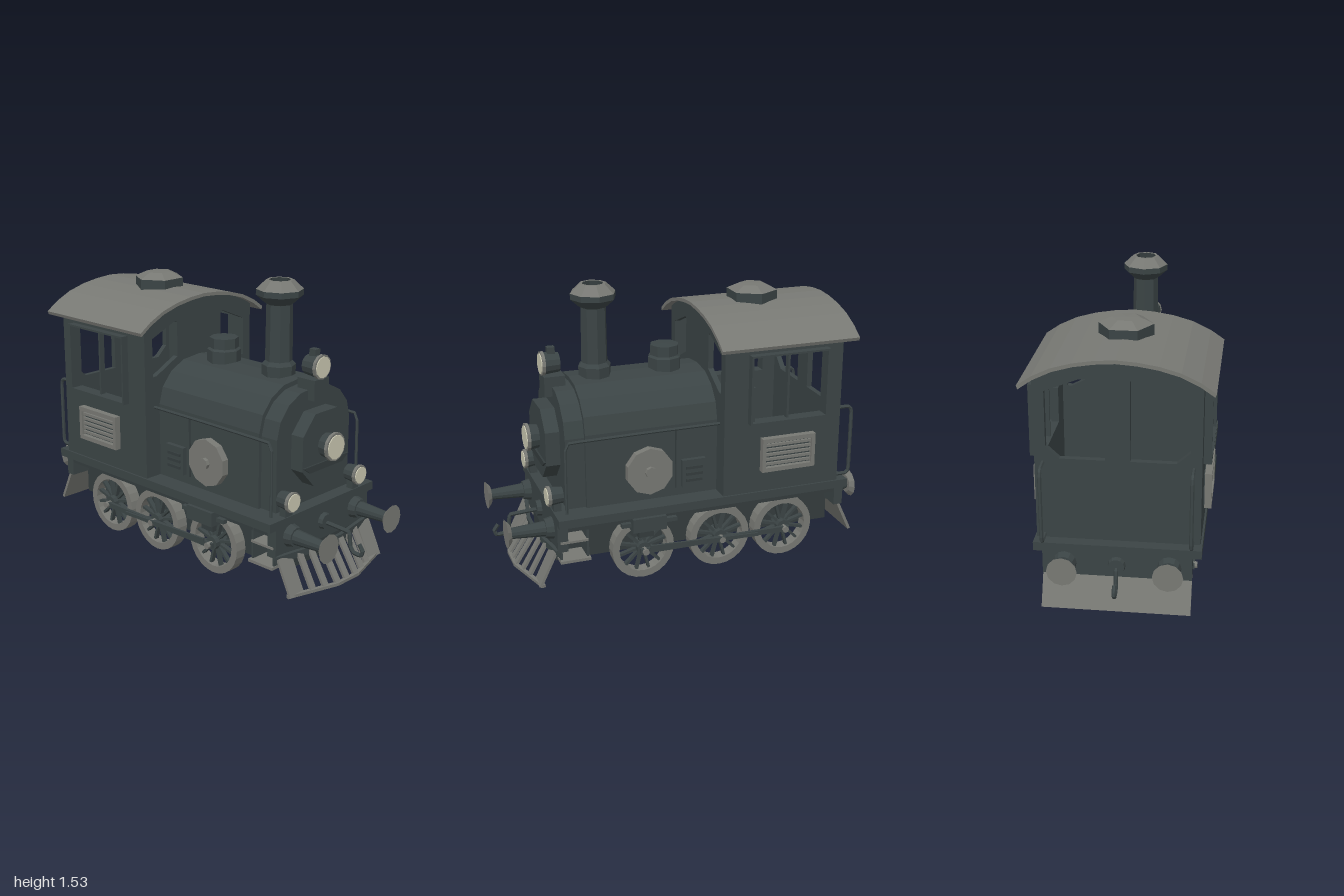
import * as THREE from 'three';

const material = (name, color) => Object.assign(new THREE.MeshStandardMaterial({ color }), { name });

export function createModel() {
  const model = new THREE.Group();
  model.name = 'steamLocomotive';
  const dark = material('charcoal', 0x3b4445);
  const frameMat = material('darkFrame', 0x343c3d);
  const grey = material('steelGrey', 0x777873);
  const cream = material('lampCream', 0xcac8b2);
  const sides = [1, -1];
  const v = (x, y, z) => new THREE.Vector3(x, y, z);

  // Adds a faceted mesh
  function add(name, geo, mat, x = 0, y = 0, z = 0) {
    const g = geo.index ? geo.toNonIndexed() : geo;
    g.computeVertexNormals();
    const m = new THREE.Mesh(g, mat);
    m.name = name;
    m.position.set(x, y, z);
    model.add(m);
    return m;
  }
  // Box from its limits
  const box = (name, mat, x0, x1, y0, y1, z0, z1) => add(name,
    new THREE.BoxGeometry(x1 - x0, y1 - y0, Math.abs(z1 - z0)), mat, (x0 + x1) / 2, (y0 + y1) / 2, (z0 + z1) / 2);
  // The same box on both flanks
  const pair = (name, mat, x0, x1, y0, y1, z0, z1) =>
    sides.forEach(s => box(name, mat, x0, x1, y0, y1, s * z0, s * z1));
  // Cylinder along x; r0 at x0 and r1 at x1
  const cylX = (name, mat, x0, x1, r0, r1, y, z, n = 12) => add(name,
    new THREE.CylinderGeometry(r1, r0, x1 - x0, n).rotateZ(-Math.PI / 2), mat, (x0 + x1) / 2, y, z);
  // Cylinder along z
  const cylZ = (name, mat, z0, z1, r, x, y, n = 12) => add(name,
    new THREE.CylinderGeometry(r, r, Math.abs(z1 - z0), n).rotateX(Math.PI / 2), mat, x, y, (z0 + z1) / 2);
  // Flat bar between two points
  function bar(name, mat, p, q, w, t) {
    const m = add(name, new THREE.BoxGeometry(w, t, p.distanceTo(q)), mat);
    m.position.copy(p).add(q).multiplyScalar(0.5);
    m.lookAt(q);
  }
  const tube = (name, mat, pts, r) => add(name,
    new THREE.TubeGeometry(new THREE.CatmullRomCurve3(pts, false, 'catmullrom', 0.1), 28, r, 6), mat);
  const shape = pts => new THREE.Shape(pts.map(p => new THREE.Vector2(...p)));
  const path = pts => new THREE.Path(pts.map(p => new THREE.Vector2(...p)));
  const mirrored = half => [...half, ...half.filter(p => p[0] > 0).reverse().map(([a, b]) => [-a, b])];
  const extrude = (s, depth) => new THREE.ExtrudeGeometry(s, { depth, bevelEnabled: false, curveSegments: 12 });
  // Cross-section (z, y) extruded along x
  const along = (name, mat, s, x0, x1) => add(name, extrude(s, x1 - x0).rotateY(Math.PI / 2), mat, x0);
  // Upright turned part
  const turned = (name, mat, pts, n, x) => add(name,
    new THREE.LatheGeometry(pts.map(p => new THREE.Vector2(...p)), n), mat, x);
  const rect = (x0, x1, y0, y1) => [[x0, y0], [x1, y0], [x1, y1], [x0, y1]];

  // Chassis, running board and buffer beams
  box('chassis', frameMat, -0.83, 0.72, 0.14, 0.4, -0.25, 0.25);
  box('runningBoard', dark, -0.87, 0.735, 0.39, 0.435, -0.41, 0.41);
  box('boardSkirt', frameMat, -0.85, 0.72, 0.345, 0.39, -0.36, 0.36);
  box('frontBeam', dark, 0.68, 0.735, 0.24, 0.43, -0.365, 0.365);
  box('rearBeam', dark, -0.87, -0.82, 0.27, 0.43, -0.365, 0.365);

  // Boiler and smokebox
  const arch = [[0.3, 0.43], [0.3, 0.83], [0.275, 0.92], [0.21, 0.995], [0.12, 1.04], [0, 1.052]];
  along('boiler', dark, shape(mirrored(arch)), -0.18, 0.56);
  along('smokebox', dark, shape(mirrored(arch.map(([z, y]) => [z * 0.94, 0.43 + (y - 0.43) * 0.96]))), 0.56, 0.66);
  const oct = [[0.085, 0.545], [0.175, 0.64], [0.175, 0.82], [0.085, 0.92]];
  along('smokeboxDoor', dark, shape(mirrored(oct)), 0.65, 0.735);
  along('doorApron', frameMat, shape(mirrored([[0.125, 0.625], [0.175, 0.66]])), 0.735, 0.745);

  // Boiler dome
  turned('dome', dark, [[0, 1.03], [0.09, 1.03], [0.09, 1.11], [0.078, 1.12], [0.078, 1.175], [0, 1.178]], 8, 0.035);

  // Chimney with flared cap
  turned('chimney', dark, [[0.085, 1.03], [0.088, 1.1], [0.07, 1.12], [0.067, 1.41], [0.085, 1.43]], 8, 0.418);
  turned('chimneyCap', dark, [[0.075, 1.415], [0.12, 1.455], [0.12, 1.485]], 8, 0.418);
  turned('chimneyCrown', grey, [[0.12, 1.485], [0.07, 1.532], [0.055, 1.532]], 8, 0.418);
  turned('chimneyBore', frameMat, [[0.055, 1.532], [0.05, 1.45], [0, 1.45]], 8, 0.418);

  // Lamps: housing, rim and lens
  function lamp(x0, x1, r, y, z) {
    cylX('lampHousing', dark, x0, x1, r * 0.85, r, y, z);
    cylX('lampRim', grey, x1 - 0.012, x1 + 0.004, r * 1.06, r * 1.06, y, z);
    cylX('lampLens', cream, x1, x1 + 0.009, r * 0.9, r * 0.9, y, z);
  }
  lamp(0.61, 0.7, 0.06, 1.135, 0);
  box('lampBracket', dark, 0.59, 0.7, 0.97, 1.075, -0.055, 0.055);
  box('lampVent', dark, 0.63, 0.67, 1.18, 1.22, -0.018, 0.018);
  lamp(0.72, 0.795, 0.07, 0.745, 0);
  sides.forEach(s => {
    lamp(0.68, 0.755, 0.05, 0.515, s * 0.265);
    box('lampFoot', dark, 0.69, 0.73, 0.43, 0.48, s * 0.24, s * 0.29);
  });

  // Cab side walls with window openings
  const win = rect(-0.705, -0.29, 0.835, 1.185);
  sides.forEach(s => {
    const wall = shape(rect(-0.81, -0.15, 0.43, 1.28));
    wall.holes.push(path(win));
    add('cabSide', extrude(wall, 0.03), dark, 0, 0, s > 0 ? 0.37 : -0.4);
    const frame = shape(rect(-0.72, -0.28, 0.825, 1.195));
    frame.holes.push(path(win));
    add('windowFrame', extrude(frame, 0.04), dark, 0, 0, s > 0 ? 0.4 : -0.44);
    box('windowDivider', dark, -0.505, -0.493, 0.835, 1.185, s * 0.38, s * 0.41);
    box('windowPost', dark, -0.315, -0.29, 0.835, 1.02, s * 0.37, s * 0.41);
    // Louvre panel
    box('louvrePanel', dark, -0.645, -0.36, 0.565, 0.73, s * 0.4, s * 0.415);
    const rim = shape(rect(-0.652, -0.352, 0.555, 0.74));
    rim.holes.push(path(rect(-0.632, -0.372, 0.578, 0.717)));
    add('louvreRim', extrude(rim, 0.035), grey, 0, 0, s > 0 ? 0.405 : -0.44);
    for (let i = 0; i < 5; i++) {
      const y = 0.595 + i * 0.026;
      bar('louvreSlat', grey, v(-0.632, y, s * 0.423), v(-0.372, y, s * 0.423), 0.012, 0.014);
    }
  });

  // Cab end walls
  const wallEdge = [[0.4, 0.43], [0.4, 1.272], [0.25, 1.335], [0.13, 1.36], [0, 1.365]];
  function cabEnd(name, hole, x0, x1) {
    const wall = shape(mirrored(wallEdge));
    sides.forEach(s => wall.holes.push(path(hole.map(([z, y]) => [s * z, y]))));
    along(name, dark, wall, x0, x1);
  }
  cabEnd('cabFront', [[0.345, 0.985], [0.345, 1.19], [0.18, 1.26], [0.165, 1.25], [0.165, 1.065], [0.32, 0.985]], -0.18, -0.15);
  cabEnd('cabRear', [[0.345, 0.92], [0.345, 1.2], [0.18, 1.265], [0.06, 1.265], [0.06, 0.86], [0.28, 0.86]], -0.81, -0.78);
  box('cabFloor', frameMat, -0.8, -0.16, 0.43, 0.45, -0.39, 0.39);

  // Curved roof and its hexagonal vent
  const top = [[0.46, 1.245], [0.39, 1.293], [0.3, 1.336], [0.2, 1.364], [0.1, 1.38], [0, 1.387]];
  const outer = mirrored(top);
  const inner = outer.map(([z, y]) => [z * 0.985, y - 0.018]).reverse();
  along('roof', grey, shape([...outer, ...inner]), -0.87, -0.11);
  turned('roofVentSides', dark, [[0.135, 1.36], [0.135, 1.43]], 6, -0.46);
  turned('roofVentTop', grey, [[0.135, 1.43], [0.07, 1.46], [0, 1.463]], 6, -0.46);

  // Flank fittings on the boiler
  sides.forEach(s => {
    cylZ('flankDisc', grey, s * 0.295, s * 0.34, 0.127, 0.23, 0.605, 10);
    cylZ('discBoss', grey, s * 0.34, s * 0.36, 0.03, 0.23, 0.605, 8);
    box('hatch', dark, -0.08, 0.05, 0.485, 0.635, s * 0.3, s * 0.325);
    for (let i = 0; i < 3; i++)
      box('hatchSlot', frameMat, -0.06, 0.03, 0.515 + i * 0.035, 0.53 + i * 0.035, s * 0.325, s * 0.333);
    box('panelSeam', frameMat, 0.075, 0.083, 0.48, 0.8, s * 0.3, s * 0.306);
    tube('boilerRail', dark, [v(-0.17, 0.82, s * 0.335), v(0.2, 0.82, s * 0.335), v(0.65, 0.815, s * 0.335),
      v(0.672, 0.79, s * 0.335), v(0.675, 0.6, s * 0.335), v(0.675, 0.43, s * 0.335)], 0.008);
    tube('cabRail', dark, [v(-0.8, 0.835, s * 0.36), v(-0.88, 0.835, s * 0.36), v(-0.9, 0.81, s * 0.36),
      v(-0.9, 0.47, s * 0.36), v(-0.88, 0.45, s * 0.36), v(-0.8, 0.45, s * 0.36)], 0.01);
  });

  // Spoked wheels, side rods and cylinders
  const wheelX = [-0.535, -0.165, 0.265];
  const ring = new THREE.Shape().absarc(0, 0, 0.17, 0, Math.PI * 2);
  ring.holes.push(new THREE.Path().absarc(0, 0, 0.132, 0, Math.PI * 2));
  sides.forEach(s => {
    wheelX.forEach(x => {
      add('wheelRim', extrude(ring, 0.065), grey, x, 0.17, s > 0 ? 0.257 : -0.322);
      for (let i = 0; i < 6; i++)
        add('wheelSpoke', new THREE.BoxGeometry(0.275, 0.014, 0.025), dark, x, 0.17, s * 0.295).rotation.z = i * Math.PI / 6 + 0.26;
      cylZ('wheelHub', dark, s * 0.25, s * 0.335, 0.038, x, 0.17, 10);
      cylZ('crankPin', grey, s * 0.33, s * 0.372, 0.018, x, 0.165, 8);
    });
    box('couplingRod', dark, -0.56, 0.29, 0.152, 0.18, s * 0.34, s * 0.358);
    bar('connectingRod', dark, v(-0.37, 0.165, s * 0.365), v(0.24, 0.19, s * 0.365), 0.012, 0.018);
    box('slideBar', dark, 0.1, 0.4, 0.33, 0.352, s * 0.36, s * 0.385);
    box('steamChest', dark, 0.17, 0.35, 0.31, 0.385, s * 0.34, s * 0.42);
    box('chestHanger', frameMat, 0.22, 0.3, 0.25, 0.32, s * 0.33, s * 0.36);
  });

  // Footsteps behind the front beam
  pair('stepSide', dark, 0.57, 0.582, 0.18, 0.4, 0.25, 0.36);
  pair('stepSide', dark, 0.71, 0.722, 0.18, 0.4, 0.25, 0.36);
  pair('lowerTread', grey, 0.565, 0.725, 0.18, 0.195, 0.25, 0.38);
  pair('upperTread', grey, 0.575, 0.72, 0.285, 0.297, 0.25, 0.37);

  // Buffers and coupling hooks at both ends
  sides.forEach(e => {
    const base = e > 0 ? 0.73 : 0.865, end = e > 0 ? 0.975 : 0.967;
    const span = (name, mat, a, b, ra, rb, z) => e > 0
      ? cylX(name, mat, a, b, ra, rb, 0.335, z) : cylX(name, mat, -b, -a, rb, ra, 0.335, z);
    sides.forEach(s => {
      span('bufferBase', dark, base, base + 0.045, 0.06, 0.05, s * 0.255);
      span('bufferStem', dark, base + 0.04, end - 0.02, 0.04, 0.028, s * 0.255);
      span('bufferHead', grey, end - 0.022, end, 0.05, 0.075, s * 0.255);
    });
    span('couplingPlate', dark, base, base + 0.03, 0.045, 0.04, 0);
    tube('couplingHook', dark, [[base, 0.33], [0.9, 0.32], [0.91, 0.25], [0.93, 0.22], [0.975, 0.215], [0.99, 0.24], [0.965, 0.275]]
      .map(([x, y]) => v(e * x, y, 0)), 0.011);
  });

  // Slatted guard at the front
  const topX = z => 0.785 - 0.05 * Math.max(0, (Math.abs(z) - 0.08) / 0.285);
  const lowX = z => 0.9 - 0.085 * Math.max(0, (Math.abs(z) - 0.08) / 0.285);
  for (let i = -3; i <= 3; i++) {
    const z = i * 0.073;
    bar('guardSlat', grey, v(topX(z), 0.24, z), v(lowX(z), 0.06, z), 0.038, 0.014);
  }
  const corners = [-0.365, -0.08, 0.08, 0.365];
  for (let i = 0; i < 3; i++) {
    const [a, b] = [corners[i], corners[i + 1]];
    bar('guardTopRail', dark, v(topX(a), 0.235, a), v(topX(b), 0.235, b), 0.02, 0.035);
    bar('guardFoot', grey, v(lowX(a), 0.065, a), v(lowX(b), 0.065, b), 0.02, 0.016);
  }
  sides.forEach(s => bar('guardWing', grey, v(topX(0.31), 0.24, s * 0.315), v(lowX(0.31), 0.06, s * 0.315), 0.1, 0.014));

  // Sloped plate at the rear
  bar('rearGuard', grey, v(-0.84, 0.29, 0), v(-0.925, 0.108, 0), 0.73, 0.016);

  return model;
}
